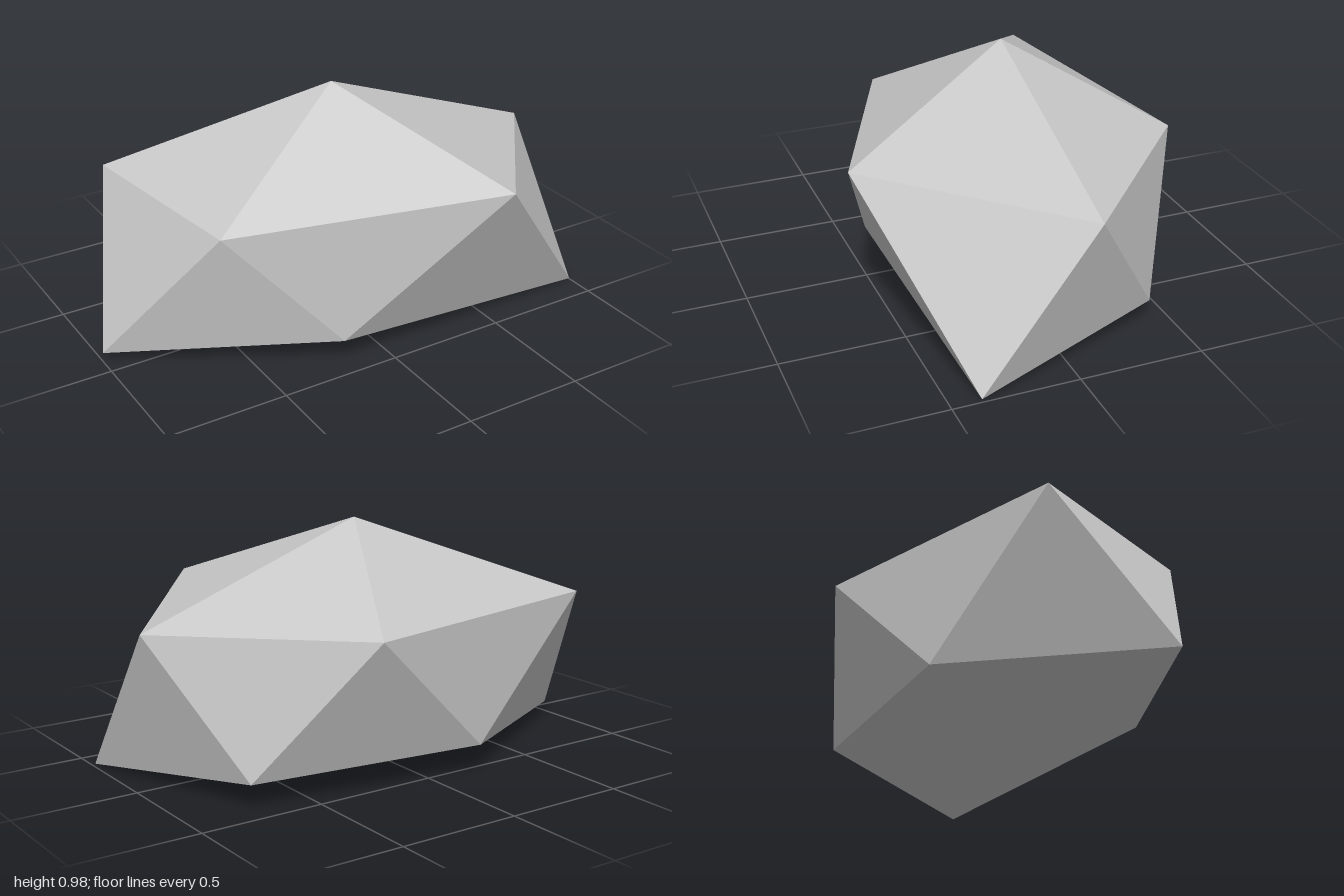
import * as THREE from 'three';

// Low-poly boulder: an apex, two staggered rings of five corners and a base point.
export function createModel() {
  const stone = new THREE.MeshStandardMaterial({ color: 0xc6c6c6, flatShading: true });
  stone.name = 'light stone grey';

  const apex = [0.05, 0.975, -0.07];
  const upper = [
    [-0.63, 0.592, 0.253], [0.415, 0.691, 0.675], [1, 0.625, -0.07],
    [0.345, 0.625, -0.675], [-0.78, 0.646, -0.478],
  ];
  // Each lower corner sits between two neighbouring upper corners.
  const lower = [
    [-0.2, 0.112, 0.44], [0.993, 0.008, 0.383], [0.745, 0.097, -0.41],
    [-0.2, 0.118, -0.573], [-1, 0.043, -0.075],
  ];
  const base = [0.05, 0, -0.07];

  // Cap, zigzag band and underside facets
  const corners = [];
  for (let i = 0; i < 5; i++) {
    const j = (i + 1) % 5;
    corners.push(
      apex, upper[i], upper[j],
      upper[i], lower[i], upper[j],
      lower[i], lower[j], upper[j],
      base, lower[j], lower[i],
    );
  }
  const geometry = new THREE.BufferGeometry();
  geometry.setAttribute('position', new THREE.Float32BufferAttribute(corners.flat(), 3));
  geometry.computeVertexNormals();

  const boulder = new THREE.Mesh(geometry, stone);
  boulder.name = 'boulder';
  const model = new THREE.Group();
  model.name = 'rock';
  model.add(boulder);
  return model;
}
